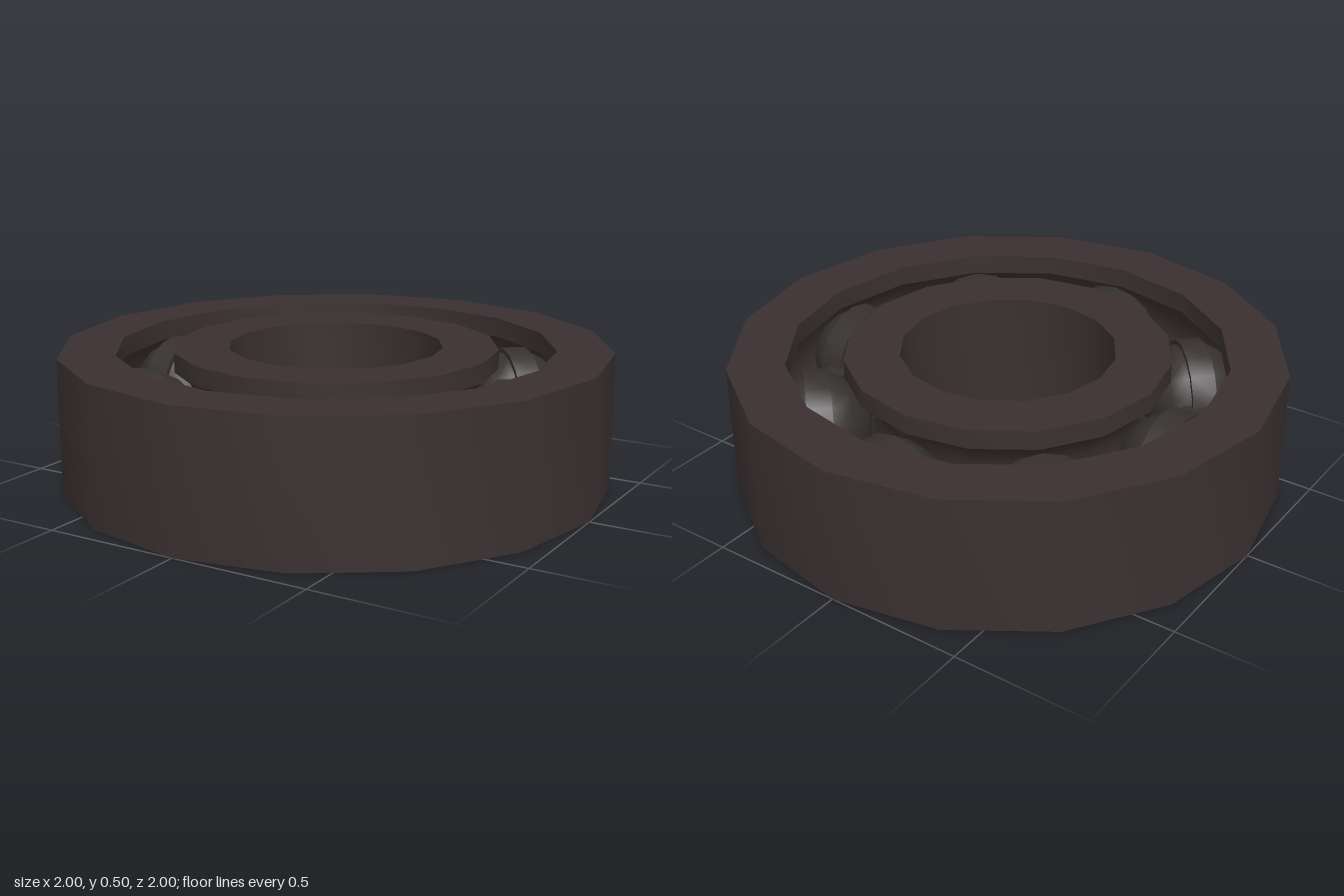
import * as THREE from 'three';
import { toCreasedNormals } from 'three/addons/utils/BufferGeometryUtils.js';

const SIDES = 16, BALLS = 8, HEIGHT = 0.5, MID = HEIGHT / 2;
const PITCH = 0.69, GROOVE = 0.205;

export function createModel() {
  const group = new THREE.Group();
  const ringSteel = new THREE.MeshStandardMaterial({ color: 0x3a3031 });
  ringSteel.name = 'dark ring steel';
  const ballSteel = new THREE.MeshStandardMaterial({ color: 0x363030 });
  ballSteel.name = 'dark ball steel';

  const add = (parent, name, geometry, material) => {
    const mesh = new THREE.Mesh(geometry, material);
    mesh.name = name;
    parent.add(mesh);
    return mesh;
  };

  // Closed profile, counter-clockwise in (radius, height), turned about y
  const turned = (points) => {
    const profile = points.map(([r, y]) => new THREE.Vector2(r, y));
    profile.push(profile[0].clone());
    return toCreasedNormals(new THREE.LatheGeometry(profile, SIDES), 0.6);
  };

  // Ball groove running from one lip to the other; side is +1 outward, -1 inward
  const groove = (lip, side) => {
    const half = Math.acos(Math.abs(lip - PITCH) / GROOVE);
    return Array.from({ length: 7 }, (_, i) => {
      const a = side * half * (1 - i / 3);
      return [PITCH + side * GROOVE * Math.cos(a), MID + GROOVE * Math.sin(a)];
    });
  };

  // Outer and inner races
  add(group, 'outerRing', turned([
    [1, 0], [1, HEIGHT], [0.795, HEIGHT], ...groove(0.795, 1), [0.795, 0],
  ]), ringSteel);
  add(group, 'innerRing', turned([
    [0.59, 0], ...groove(0.59, -1), [0.59, HEIGHT], [0.39, HEIGHT], [0.39, 0],
  ]), ringSteel);

  // Cage band linking the ball collars
  add(group, 'cageBand', turned([
    [0.735, MID - 0.04], [0.735, MID + 0.04], [0.65, MID + 0.04], [0.65, MID - 0.04],
  ]), ballSteel);

  // Balls, each held by a collar with its axis pointing outward
  const ballGeometry = new THREE.SphereGeometry(0.19, 16, 10).rotateZ(Math.PI / 2);
  const collarGeometry = toCreasedNormals(
    new THREE.CylinderGeometry(0.2, 0.2, 0.09, 16).rotateZ(Math.PI / 2), 0.6);
  for (let i = 0; i < BALLS; i++) {
    const station = new THREE.Group();
    station.name = `ballStation${i + 1}`;
    station.rotation.y = (i / BALLS) * Math.PI * 2;
    add(station, 'ball', ballGeometry, ballSteel).position.set(PITCH, MID, 0);
    add(station, 'cageCollar', collarGeometry, ballSteel).position.set(PITCH, MID, 0);
    group.add(station);
  }
  return group;
}
